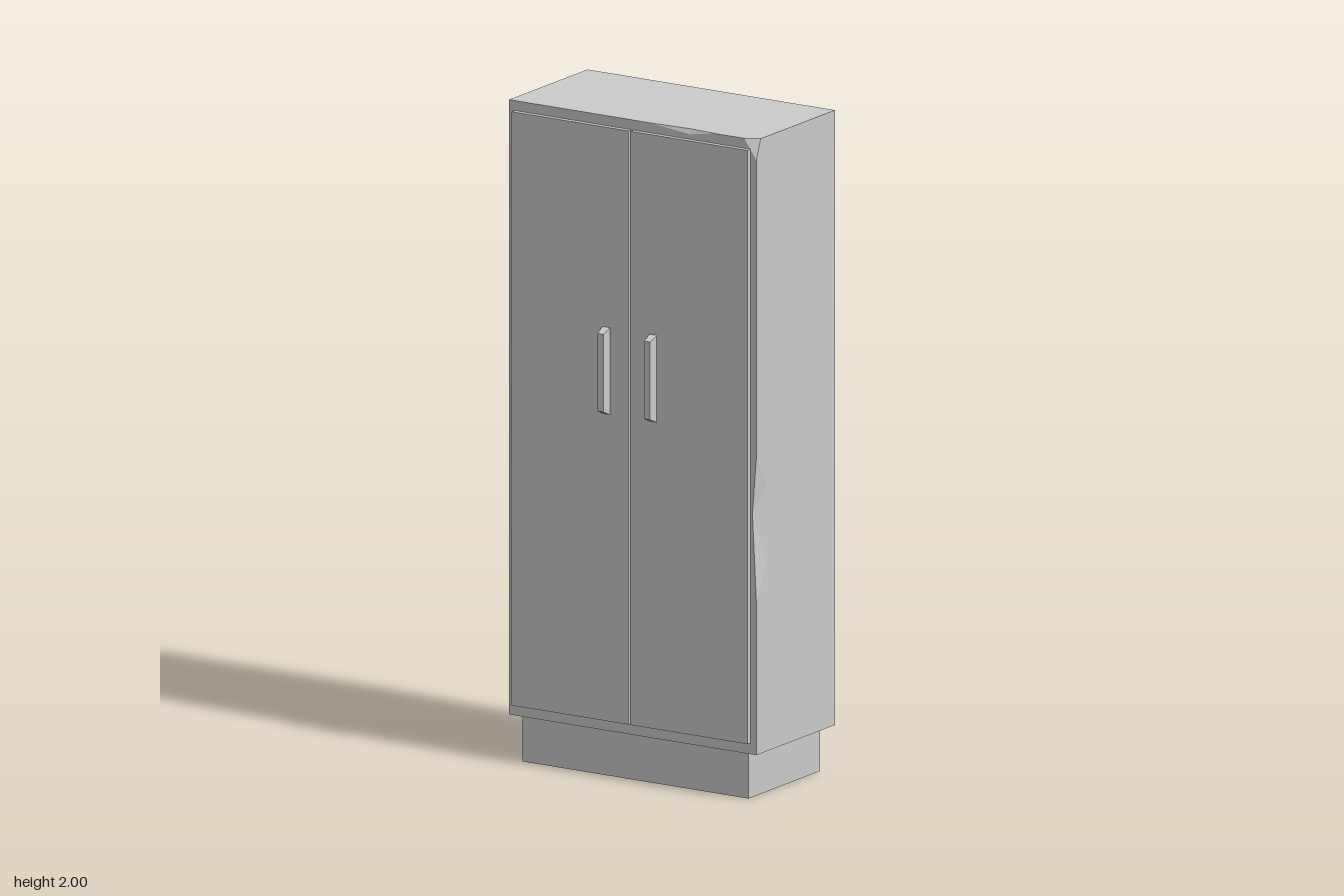
import * as THREE from 'three';

const material = new THREE.MeshStandardMaterial({ color: 0xcccccc, flatShading: true });

function add(parent, name, geometry, x = 0, y = 0, z = 0) {
  const mesh = new THREE.Mesh(geometry, material);
  mesh.name = name;
  mesh.position.set(x, y, z);
  parent.add(mesh);
  return mesh;
}

// Flat polygons, each given as [outward direction, corners]
function facetGeometry(faces) {
  const positions = [];
  for (const [out, corners] of faces) {
    const normal = new THREE.Vector3(...out);
    const points = corners.map((c) => new THREE.Vector3(...c));
    const size = out.map(Math.abs);
    const drop = size.indexOf(Math.max(...size));
    const [u, v] = [0, 1, 2].filter((axis) => axis !== drop);
    const flat = corners.map((c) => new THREE.Vector2(c[u], c[v]));
    for (const [i, j, k] of THREE.ShapeUtils.triangulateShape(flat, [])) {
      const [a, b, c] = [points[i], points[j], points[k]];
      const n = b.clone().sub(a).cross(c.clone().sub(a));
      const order = n.dot(normal) > 0 ? [a, b, c] : [a, c, b];
      order.forEach((p) => positions.push(p.x, p.y, p.z));
    }
  }
  const geometry = new THREE.BufferGeometry();
  geometry.setAttribute('position', new THREE.Float32BufferAttribute(positions, 3));
  geometry.computeVertexNormals();
  return geometry;
}

// Carcass: a box with worn nicks on three edges and one chipped corner
function carcassGeometry() {
  const X = 0.433, B = 0.14, T = 2, F = 0.185, K = -0.235;
  // box corners (left / right here are -x / +x)
  const fbl = [-X, B, F], fbr = [X, B, F], ftl = [-X, T, F];
  const kbl = [-X, B, K], kbr = [X, B, K], ktl = [-X, T, K], ktr = [X, T, K];
  // chipped top corner
  const cTop = [0.39, T, F], cSide = [X, T, 0.162], cLow = [X, 1.94, F];
  // nick in the top front edge
  const t1 = [0.06, T, F], t2 = [0.29, T, F], tIn = [0.2, T, 0.178], tLow = [0.2, 1.985, F];
  // dent in the front edge at +x
  const r1 = [X, 1.04, F], r2 = [X, 0.6, F], rFront = [0.419, 0.87, F];
  const s1 = [X, 0.95, 0.13], s2 = [X, 0.72, 0.13];
  // nick in the back edge at -x
  const b1 = [-X, 0.93, K], b2 = [-X, 0.33, K], bBack = [-0.413, 0.56, K], bSide = [-X, 0.56, -0.205];

  return facetGeometry([
    [[0, 0, 1], [fbl, fbr, r2, rFront, r1, cLow, cTop, t2, tLow, t1, ftl]],
    [[1, 0, 0], [kbr, ktr, cSide, cLow, r1, s1, s2, r2, fbr]],
    [[0, 1, 0], [ftl, t1, tIn, t2, cTop, cSide, ktr, ktl]],
    [[0, 0, -1], [kbr, kbl, b2, bBack, b1, ktl, ktr]],
    [[-1, 0, 0], [kbl, fbl, ftl, ktl, b1, bSide, b2]],
    [[0, -1, 0], [kbl, kbr, fbr, fbl]],
    [[1, 1.1, 1], [cTop, cSide, cLow]],
    [[0, 1, 1.1], [t1, tLow, tIn]],
    [[0, 1, 1.1], [t2, tIn, tLow]],
    [[1.1, 0, 1], [rFront, r1, s1]],
    [[1.1, 0, 1], [rFront, s1, s2]],
    [[1.1, 0, 1], [rFront, s2, r2]],
    [[-1.1, 0, -1], [b1, bBack, bSide]],
    [[-1.1, 0, -1], [b2, bSide, bBack]],
  ]);
}

// Handle: a bar that narrows towards its front
function handleGeometry() {
  const geometry = new THREE.BoxGeometry(0.026, 0.264, 0.032);
  const p = geometry.attributes.position;
  for (let i = 0; i < p.count; i++) {
    if (p.getZ(i) > 0) p.setXY(i, p.getX(i) * 0.8, p.getY(i) * 0.89);
  }
  geometry.computeVertexNormals();
  return geometry;
}

export function createModel() {
  const model = new THREE.Group();
  model.name = 'cabinet';

  add(model, 'carcass', carcassGeometry());
  add(model, 'plinth', new THREE.BoxGeometry(0.79, 0.14, 0.383), 0, 0.07, -0.0215);

  // Pair of doors with handles near the middle
  for (const [side, label] of [[1, 'left'], [-1, 'right']]) {
    const door = new THREE.Group();
    door.name = label + 'Door';
    add(door, label + 'DoorPanel', new THREE.BoxGeometry(0.41, 1.796, 0.017), side * 0.208, 1.072, 0.1935);
    add(door, label + 'Handle', handleGeometry(), side * 0.082, 1.234, 0.217);
    model.add(door);
  }
  return model;
}
